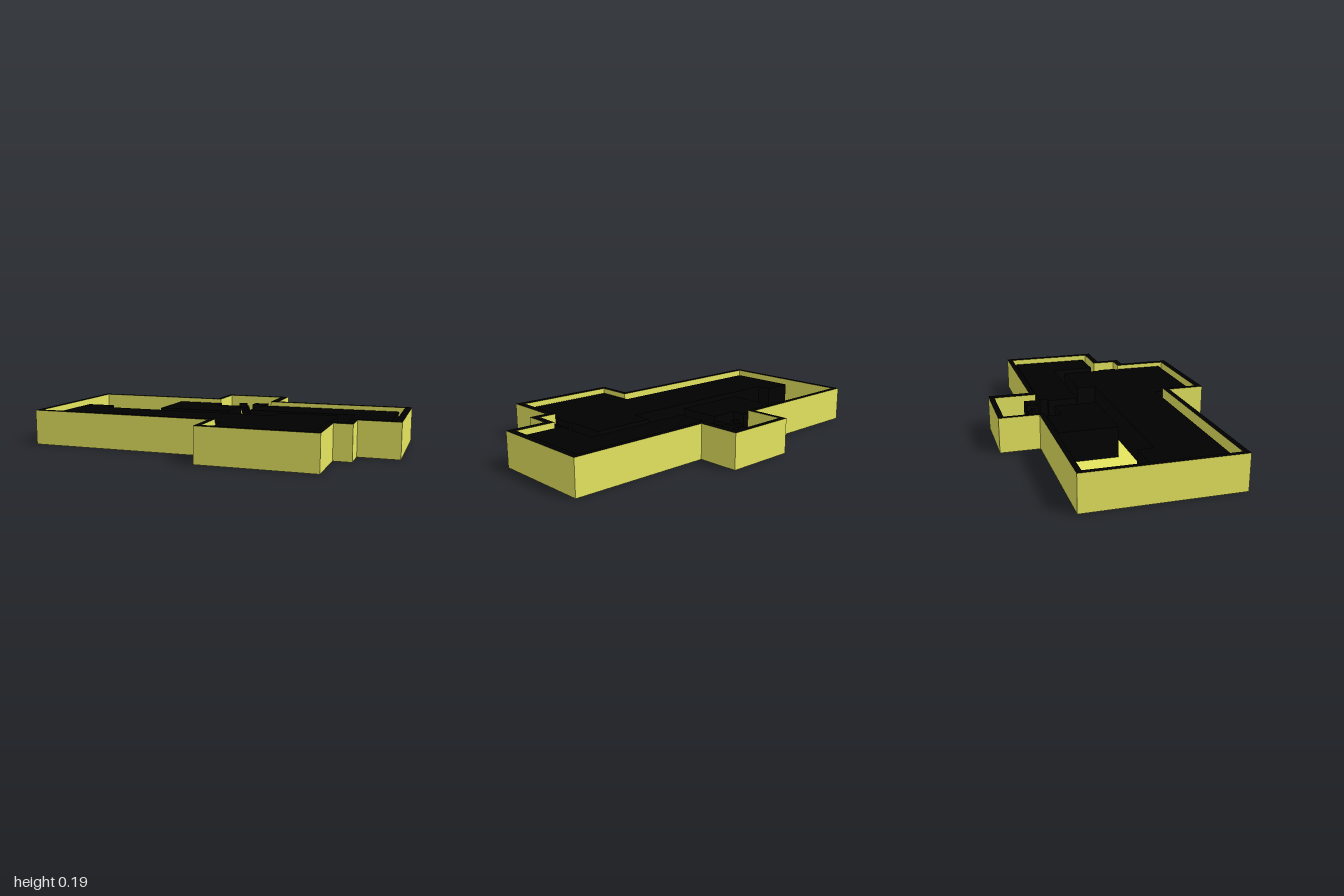
import * as THREE from 'three';

const yellow = new THREE.MeshStandardMaterial({ color: 0xe5e560 });
const black = new THREE.MeshStandardMaterial({ color: 0x000000 });

const FLOOR = 0.005, DECK = 0.172, TOP = 0.195;

// Plan points are [x, z]
const toPoints = (plan) => plan.map(([x, z]) => new THREE.Vector2(x, -z));

// Raise a plan outline from y0 to y1
function prism(name, plan, y0, y1, material, hole) {
  const shape = new THREE.Shape(toPoints(plan));
  // The hole runs against the outline so its walls face inward
  if (hole) shape.holes.push(new THREE.Path(toPoints(hole).reverse()));
  const geometry = new THREE.ExtrudeGeometry(shape, { depth: y1 - y0, bevelEnabled: false });
  geometry.rotateX(-Math.PI / 2).translate(0, y0, 0);
  const mesh = new THREE.Mesh(geometry, material);
  mesh.name = name;
  return mesh;
}

function box(name, x0, x1, y0, y1, z0, z1) {
  const mesh = new THREE.Mesh(new THREE.BoxGeometry(x1 - x0, y1 - y0, z1 - z0), black);
  mesh.position.set((x0 + x1) / 2, (y0 + y1) / 2, (z0 + z1) / 2);
  mesh.name = name;
  return mesh;
}

export function createModel() {
  const model = new THREE.Group();
  model.name = 'floorPlan';

  const outer = [
    [-1, -0.41], [-0.2, -0.41], [-0.2, -0.63], [0.2, -0.63], [0.2, -0.393], [1, -0.393], [1, 0.185],
    [0.775, 0.185], [0.775, 0.323], [0.675, 0.323], [0.675, 0.63], [0.04, 0.63], [0.04, 0.42], [-1, 0.42],
  ];
  const inner = [
    [-0.973, -0.382], [-0.176, -0.382], [-0.176, -0.6], [0.157, -0.6], [0.157, -0.363], [0.963, -0.363],
    [0.963, 0.149], [0.737, 0.149], [0.737, 0.286], [0.638, 0.286], [0.638, 0.594], [0.069, 0.594],
    [0.069, 0.39], [-0.973, 0.39],
  ];

  // Floor and outer wall; the wall's top rim is black
  model.add(prism('floor', outer, 0, FLOOR, yellow));
  model.add(prism('outerWall', outer, FLOOR, TOP, [black, yellow], inner));

  // Raised room blocks
  const rooms = {
    mainRoom: [
      [-0.93, -0.053], [-0.758, -0.053], [-0.758, 0.031], [0.288, 0.031], [0.288, -0.079], [0.627, -0.079],
      [0.627, 0.57], [0.086, 0.57], [0.086, 0.351], [-0.93, 0.351],
    ],
    middleRoom: [
      [-0.438, -0.362], [-0.163, -0.362], [-0.163, -0.287], [-0.01, -0.287], [-0.01, -0.044], [-0.438, -0.044],
    ],
    cornerRoom: [
      [0.12, -0.345], [0.93, -0.345], [0.93, 0.122], [0.713, 0.122], [0.713, -0.133], [0.095, -0.133],
      [0.095, -0.3], [0.12, -0.3],
    ],
    backCloset: [[0.037, -0.438], [0.123, -0.438], [0.123, -0.372], [0.037, -0.372]],
  };
  for (const [name, plan] of Object.entries(rooms)) {
    model.add(prism(name, plan, FLOOR, DECK, black));
  }

  // Side steps, rising toward the main room
  const sideSteps = new THREE.Group();
  sideSteps.name = 'sideSteps';
  const count = 6, run = (0.72 - 0.627) / count;
  for (let i = 0; i < count; i++) {
    const x = 0.72 - i * run;
    sideSteps.add(box('step', x - run, x, FLOOR, FLOOR + (DECK - FLOOR) * (i + 1) / count, 0.154, 0.267));
  }
  model.add(sideSteps);

  // Back staircase: one flight up to the back, the next up to the front
  const backStairs = new THREE.Group();
  backStairs.name = 'backStairs';
  const treads = 6, rise = (DECK - FLOOR) / (2 * treads), depth = 0.115 / treads;
  for (let i = 0; i < treads; i++) {
    const zUp = -0.403 - i * depth, zDown = -0.518 + i * depth;
    const low = FLOOR + i * rise, high = low + treads * rise;
    backStairs.add(box('lowerStep', -0.107, -0.063, low, low + rise, zUp - depth, zUp));
    backStairs.add(box('upperStep', -0.059, -0.012, high - rise, high + rise, zDown, zDown + depth));
  }
  model.add(backStairs);

  return model;
}
